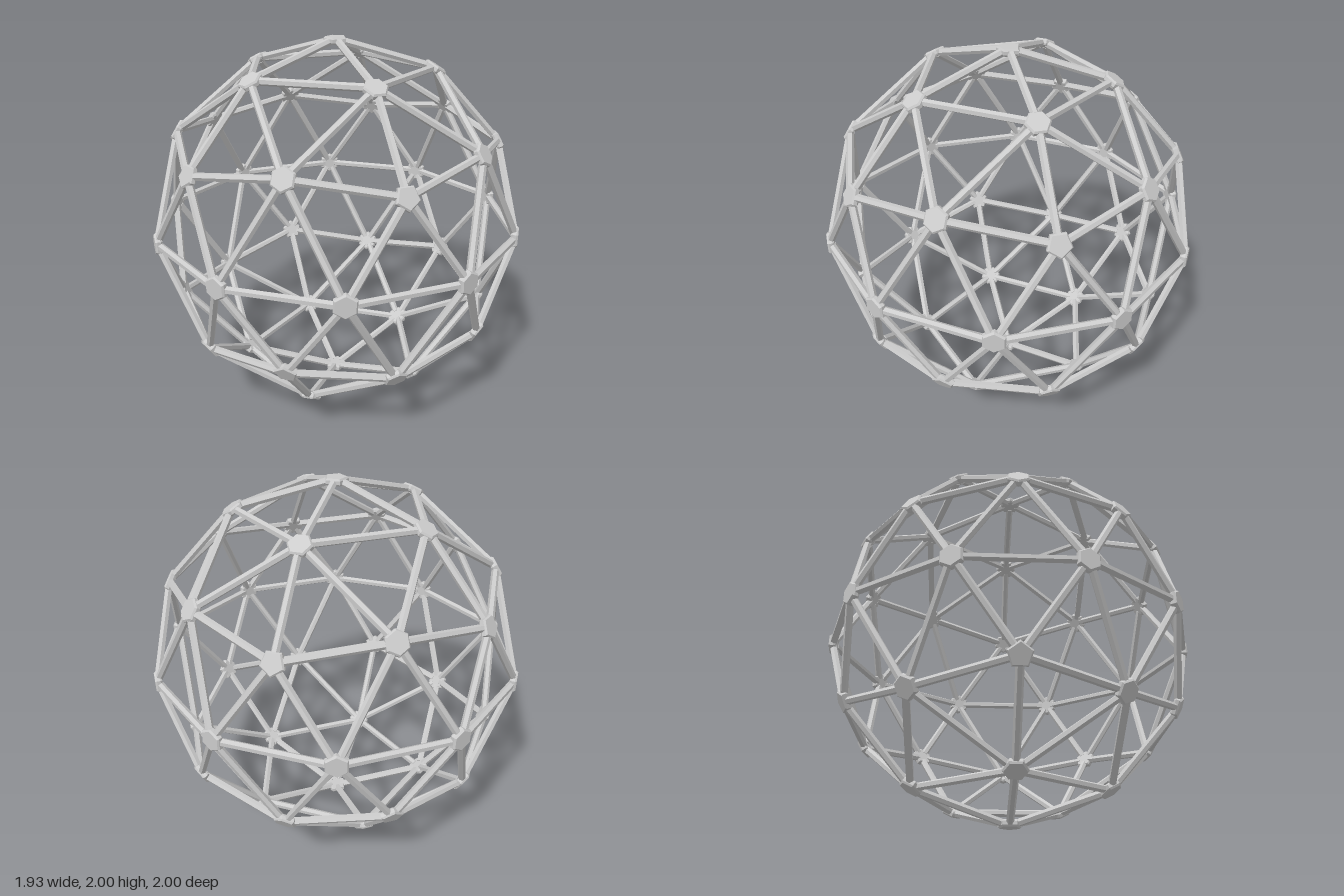
import * as THREE from 'three';

const AXIS_R = 0.988;   // radius of the strut end points
const OUTER_R = 1;      // radius of the hubs' outer faces
const HUB_H = 0.018;    // half thickness of a hub
const STRUT_R = 0.02;

// Icosahedron standing on a corner
function corners() {
  const pts = [new THREE.Vector3(0, 1, 0), new THREE.Vector3(0, -1, 0)];
  const y = 1 / Math.sqrt(5), r = 2 / Math.sqrt(5);
  for (let i = 0; i < 5; i++) {
    const a = i * Math.PI * 0.4, b = a + Math.PI / 5;
    pts.push(new THREE.Vector3(r * Math.cos(a), y, r * Math.sin(a)));
    pts.push(new THREE.Vector3(r * Math.cos(b), -y, r * Math.sin(b)));
  }
  return pts;
}

// All index pairs closer together than a limit
function pairs(pts, limit) {
  const out = [];
  for (let i = 0; i < pts.length; i++)
    for (let j = i + 1; j < pts.length; j++)
      if (pts[i].distanceTo(pts[j]) < limit) out.push([i, j]);
  return out;
}

function orient(mesh, x, y, z, position) {
  mesh.quaternion.setFromRotationMatrix(new THREE.Matrix4().makeBasis(x, y, z));
  mesh.position.copy(position);
}

// Chamfered polygonal plate with one side facing local +z
function hubGeometry(sides) {
  const profile = [
    [0, -HUB_H], [0.055, -HUB_H], [0.063, -HUB_H + 0.009],
    [0.063, HUB_H - 0.009], [0.055, HUB_H], [0, HUB_H],
  ].map(([x, y]) => new THREE.Vector2(x, y));
  return new THREE.LatheGeometry(profile, sides, Math.PI / sides, Math.PI * 2);
}

export function createModel() {
  const model = new THREE.Group();
  model.name = 'geodesicFrame';
  const material = new THREE.MeshStandardMaterial({ color: 0xcccccc, flatShading: true });

  // Split every icosahedron edge once and push the midpoints onto the sphere
  const pts = corners();
  for (const [i, j] of pairs(pts, 1.1)) pts.push(pts[i].clone().add(pts[j]).normalize());
  const edges = pairs(pts, 0.7);

  // Hexagonal struts, one flat side facing outward
  const struts = new THREE.Group();
  struts.name = 'struts';
  for (const [i, j] of edges) {
    const a = pts[i].clone().multiplyScalar(AXIS_R);
    const b = pts[j].clone().multiplyScalar(AXIS_R);
    const along = b.clone().sub(a);
    const length = along.length() - 0.07;
    along.normalize();
    const mid = a.add(b).multiplyScalar(0.5);
    const out = mid.clone().normalize();
    const strut = new THREE.Mesh(new THREE.CylinderGeometry(STRUT_R, STRUT_R, length, 6), material);
    strut.name = 'strut';
    orient(strut, out, along, out.clone().cross(along), mid);
    struts.add(strut);
  }

  // Hubs with as many sides as struts that meet there
  const hubs = new THREE.Group();
  hubs.name = 'hubs';
  const geometries = { 5: hubGeometry(5), 6: hubGeometry(6) };
  pts.forEach((p, k) => {
    const joined = edges.filter((e) => e.includes(k));
    const other = pts[joined[0][0] === k ? joined[0][1] : joined[0][0]];
    const z = other.clone().addScaledVector(p, -other.dot(p)).normalize();
    const hub = new THREE.Mesh(geometries[joined.length], material);
    hub.name = 'hub';
    orient(hub, p.clone().cross(z), p, z, p.clone().multiplyScalar(OUTER_R - HUB_H));
    hubs.add(hub);
  });

  model.add(struts, hubs);
  struts.position.y = hubs.position.y = OUTER_R;
  return model;
}
